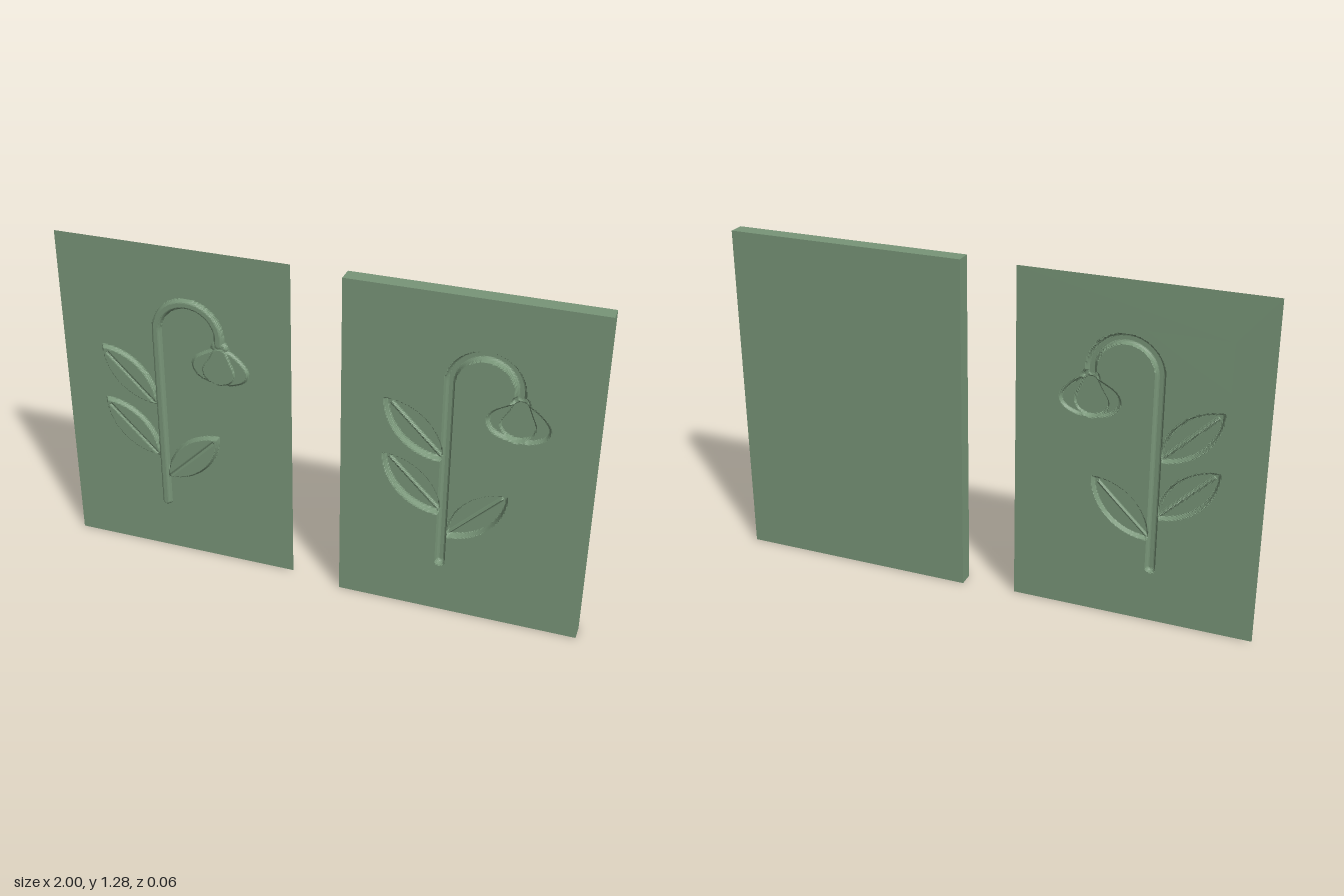
import * as THREE from 'three';

const W = 0.9, H = 1.28, T = 0.06;                        // panel width, height, plate thickness
const AREA = { x: 0.31, y0: 0.18, y1: 1.11 };             // region holding the flower relief
const green = { color: 0x789578, flatShading: true };

const clamp01 = (t) => Math.min(1, Math.max(0, t));
// Flat-topped profile with a short sloping wall; d is negative inside.
const plateau = (d, wall = 0.008) => clamp01(-d / wall);
// Half-round profile of radius r, d measured from the centre line.
const round = (d, r) => Math.sqrt(clamp01((1 - (d / r) ** 2) * 1.3));

function segDist(x, y, a, b) {
  const dx = b[0] - a[0], dy = b[1] - a[1];
  const t = clamp01(((x - a[0]) * dx + (y - a[1]) * dy) / (dx * dx + dy * dy));
  return Math.hypot(x - a[0] - dx * t, y - a[1] - dy * t);
}

// Signed distance to a smooth closed outline.
function outline(points) {
  const curve = new THREE.CatmullRomCurve3(points.map(([x, y]) => new THREE.Vector3(x, y, 0)), true);
  const p = curve.getPoints(48).map((v) => [v.x, v.y]);
  return (x, y) => {
    let d = Infinity, inside = false;
    for (let i = 0; i < p.length - 1; i++) {
      const a = p[i], b = p[i + 1];
      d = Math.min(d, segDist(x, y, a, b));
      if ((a[1] > y) !== (b[1] > y) && x < a[0] + ((y - a[1]) / (b[1] - a[1])) * (b[0] - a[0])) inside = !inside;
    }
    return inside ? -d : d;
  };
}

// Pointed leaf: overlap of two discs, with a groove for the midrib.
function leaf(base, tip, w = 0.064) {
  const dx = tip[0] - base[0], dy = tip[1] - base[1], len = Math.hypot(dx, dy), h = len / 2;
  const R = (h * h + w * w) / (2 * w);
  return (x, y) => {
    const px = x - base[0], py = y - base[1];
    const along = (px * dx + py * dy) / len - h, across = Math.abs((py * dx - px * dy) / len);
    const d = Math.hypot(along, across + R - w) - R;
    const vein = along < h * 0.8 ? 0.4 * clamp01(1 - across / 0.007) : 0;
    return Math.max(0, plateau(d) - vein);
  };
}

// Stem with its arched top.
const stemX = -0.067, arcX = 0.055, arcY = 0.948, arcR = 0.122, stemR = 0.018;
function stem(x, y) {
  let d = segDist(x, y, [stemX, 0.215], [stemX, arcY]);
  if (y > arcY) d = Math.min(d, Math.abs(Math.hypot(x - arcX, y - arcY) - arcR));
  d = Math.min(d, segDist(x, y, [arcX + arcR, arcY], [arcX + arcR, 0.93]));
  return round(d, stemR);
}

// Hanging blossom: two lower side petals, a front petal and a small cap.
const sidePetals = [
  outline([[0.17, 0.915], [0.13, 0.9], [0.08, 0.868], [0.066, 0.835], [0.08, 0.8], [0.11, 0.779], [0.16, 0.774], [0.18, 0.85]]),
  outline([[0.19, 0.915], [0.225, 0.903], [0.272, 0.862], [0.289, 0.83], [0.28, 0.8], [0.25, 0.778], [0.2, 0.77], [0.175, 0.85]]),
];
const frontPetal = outline([[0.16, 0.917], [0.2, 0.917], [0.224, 0.872], [0.241, 0.822], [0.226, 0.784],
  [0.174, 0.764], [0.122, 0.784], [0.106, 0.822], [0.131, 0.872]]);
const cap = outline([[0.145, 0.91], [0.15, 0.932], [0.178, 0.946], [0.206, 0.932], [0.211, 0.91], [0.178, 0.903]]);
function blossom(x, y) {
  if (x < 0.05 || x > 0.3 || y < 0.75 || y > 0.96) return 0;
  return Math.max(...sidePetals.map((s) => 0.6 * plateau(s(x, y))), plateau(frontPetal(x, y)), 0.85 * plateau(cap(x, y)));
}

const parts = [
  stem, blossom,
  leaf([-0.075, 0.637], [-0.295, 0.853]),
  leaf([-0.075, 0.415], [-0.295, 0.631]),
  leaf([-0.055, 0.325], [0.163, 0.54]),
];
const relief = (x, y) => Math.max(...parts.map((f) => f(x, y)));

// Dense grid pushed along z by the relief; a negative height engraves it.
function reliefMesh(name, height, material) {
  const h = AREA.y1 - AREA.y0;
  const geo = new THREE.PlaneGeometry(AREA.x * 2, h, 144, 216);
  geo.translate(0, AREA.y0 + h / 2, 0);
  const pos = geo.attributes.position;
  for (let i = 0; i < pos.count; i++) pos.setZ(i, height * relief(pos.getX(i), pos.getY(i)));
  geo.computeVertexNormals();
  const mesh = new THREE.Mesh(geo, material);
  mesh.name = name;
  return mesh;
}

// Flat face around the relief area.
function surroundMesh(name, material) {
  const rect = (S, x, y0, y1) => new S([[-x, y0], [x, y0], [x, y1], [-x, y1]].map((p) => new THREE.Vector2(...p)));
  const shape = rect(THREE.Shape, W / 2, 0, H);
  shape.holes.push(rect(THREE.Path, AREA.x, AREA.y0, AREA.y1));
  const mesh = new THREE.Mesh(new THREE.ShapeGeometry(shape), material);
  mesh.name = name;
  return mesh;
}

export function createModel() {
  const model = new THREE.Group();
  model.name = 'flowerPanels';
  const thin = new THREE.MeshStandardMaterial({ ...green, side: THREE.DoubleSide });
  const solid = new THREE.MeshStandardMaterial(green);

  // Thin sheet with the raised flower
  const sheet = new THREE.Group();
  sheet.name = 'embossedSheet';
  sheet.add(surroundMesh('sheetSurface', thin), reliefMesh('raisedFlower', 0.016, thin));
  sheet.position.set(-0.55, 0, -0.012);

  // Thick plate with the engraved flower
  const plate = new THREE.Group();
  plate.name = 'engravedPlate';
  plate.add(surroundMesh('plateFace', solid), reliefMesh('engravedFlower', -0.025, solid));
  plate.position.set(0.55, 0, T / 2);

  // Plate sides and back: a box without its front face
  const box = new THREE.BoxGeometry(W, H, T);
  box.setIndex([...box.index.array].filter((_, i) => i < 24 || i >= 30));
  box.clearGroups();
  const body = new THREE.Mesh(box, solid);
  body.name = 'plateBody';
  body.position.set(0, H / 2, -T / 2);
  plate.add(body);

  model.add(sheet, plate);
  return model;
}
